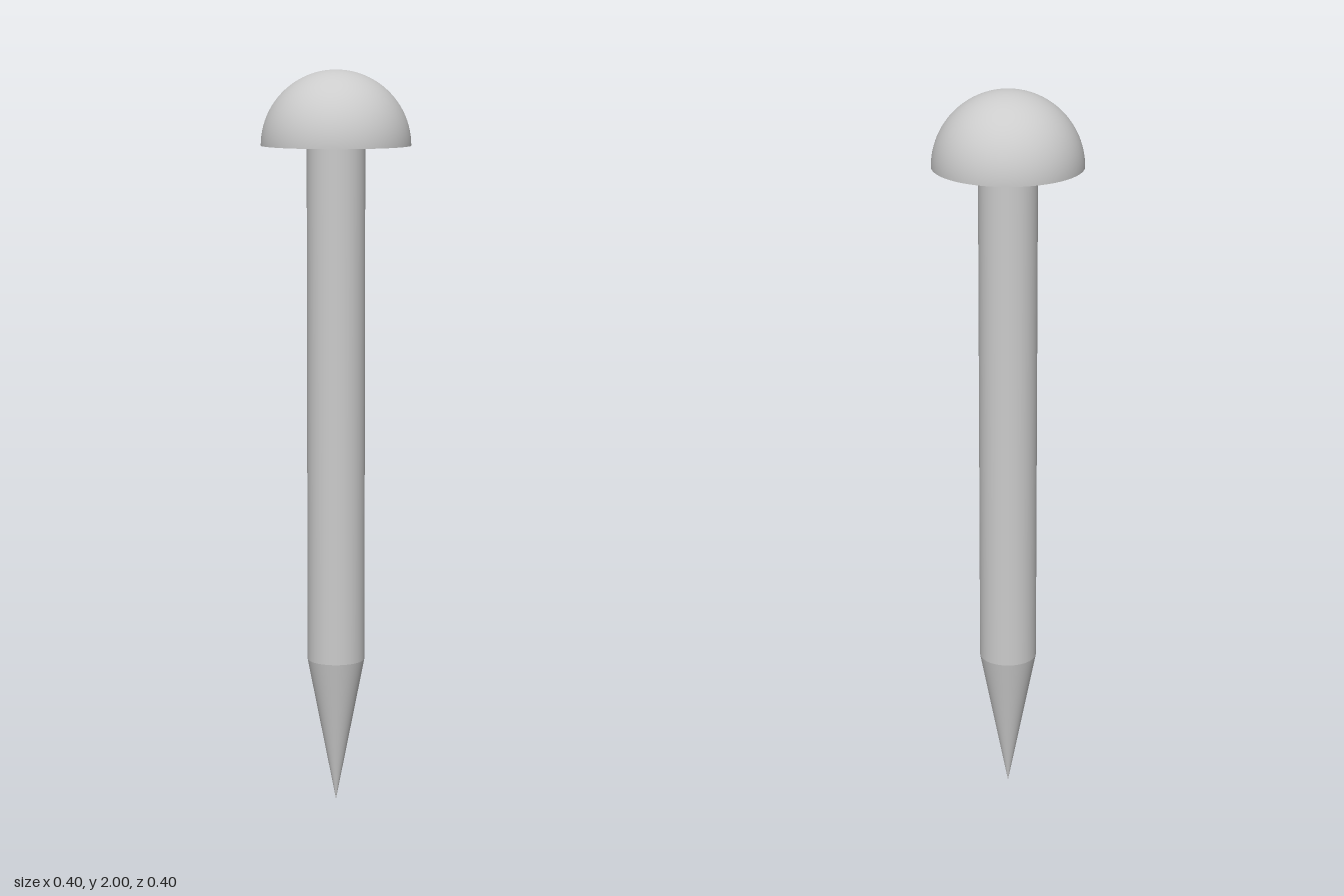
import * as THREE from 'three';

const SEGMENTS = 64;
const HEAD_R = 0.2, HEAD_Y = 1.8;
const SHAFT_R = 0.078, TIP_Y = 0.4;

export function createModel() {
  const group = new THREE.Group();
  group.name = 'nail';
  const material = new THREE.MeshStandardMaterial({ color: 0xcccccc });

  const add = (name, geometry, y) => {
    const mesh = new THREE.Mesh(geometry, material);
    mesh.name = name;
    mesh.position.y = y;
    group.add(mesh);
    return mesh;
  };

  // Domed head
  add('headDome', new THREE.SphereGeometry(HEAD_R, SEGMENTS, 24, 0, Math.PI * 2, 0, Math.PI / 2), HEAD_Y);

  // Flat underside of the head, around the shaft
  add('headUnderside', new THREE.RingGeometry(SHAFT_R, HEAD_R, SEGMENTS), HEAD_Y).rotation.x = Math.PI / 2;

  // Straight shaft
  const shaftLength = HEAD_Y - TIP_Y;
  add('shaft', new THREE.CylinderGeometry(SHAFT_R, SHAFT_R, shaftLength, SEGMENTS, 1, true), TIP_Y + shaftLength / 2);

  // Pointed tip
  add('tip', new THREE.CylinderGeometry(SHAFT_R, 0, TIP_Y, SEGMENTS, 8, true), TIP_Y / 2);

  return group;
}
